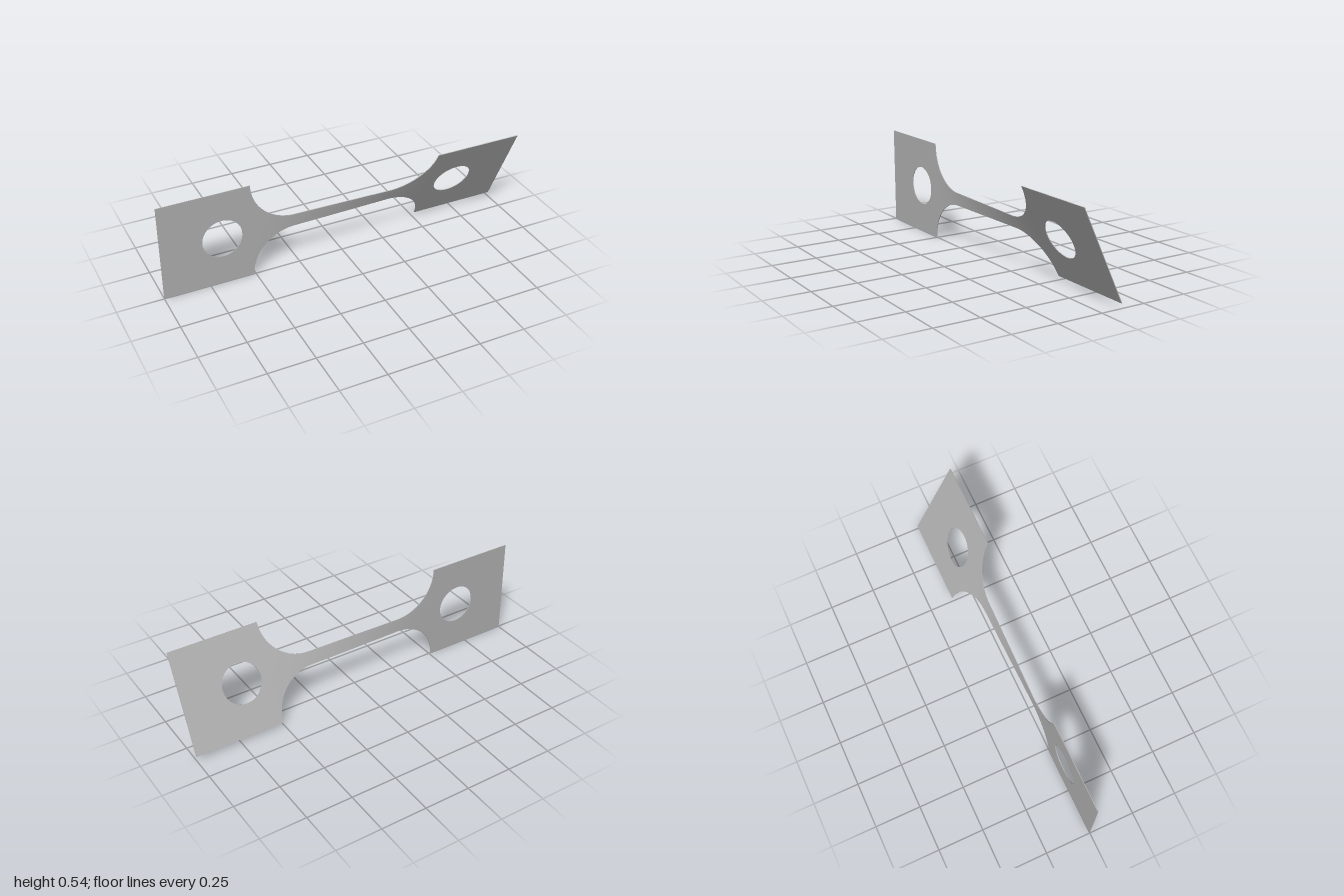
import * as THREE from 'three';

const THICK = 0.004;
const HALF = 0.271;       // half height of the end plates
const NECK = 0.036;       // half height of the narrow bar
const ARC_X = 0.274;      // where the fillets begin
const R = HALF - NECK;    // fillet radius
const HEAD_X = ARC_X + R; // inner edge of the end plates
const START = THREE.MathUtils.degToRad(0.4);
const END = THREE.MathUtils.degToRad(25.3);

// Half height of the bar at x
function halfHeight(x) {
  const d = Math.max(0, Math.abs(x) - ARC_X);
  return NECK + R - Math.sqrt(Math.max(0, R * R - d * d));
}

// The bar twists faster where it is narrower
function twistSum(x) {
  const n = 200, step = (x + HEAD_X) / n;
  let sum = 0;
  for (let i = 0; i < n; i++) sum += step / halfHeight(-HEAD_X + (i + 0.5) * step);
  return sum;
}
const TOTAL = twistSum(HEAD_X);
const twistAt = (x) => START + (END - START) * twistSum(x) / TOTAL;

// Bar with filleted ends, twisted along its length
function barGeometry() {
  const g = new THREE.BoxGeometry(2, 2, THICK, 100, 6, 1);
  // leave out the two end caps, which the plates cover
  const index = Array.from(g.index.array).slice(g.groups[2].start);
  g.setIndex(index);
  g.clearGroups();
  const p = g.attributes.position;
  for (let i = 0; i < p.count; i++) {
    const u = p.getX(i), a = Math.abs(u);
    const x = Math.sign(u) * (a < 0.4
      ? ARC_X * a / 0.4
      : ARC_X + R * Math.sin((a - 0.4) / 0.6 * Math.PI / 2));
    const y = p.getY(i) * halfHeight(x), z = p.getZ(i);
    const t = twistAt(x), c = Math.cos(t), s = Math.sin(t);
    p.setXYZ(i, x, y * c - z * s, y * s + z * c);
  }
  g.computeVertexNormals();
  return g;
}

// Flat end plate with a round hole
function plateGeometry(side) {
  const x0 = side < 0 ? -1 : HEAD_X, x1 = side < 0 ? -HEAD_X : 1;
  const shape = new THREE.Shape([
    new THREE.Vector2(x0, -HALF), new THREE.Vector2(x1, -HALF),
    new THREE.Vector2(x1, HALF), new THREE.Vector2(x0, HALF),
  ]);
  const hole = new THREE.Path();
  hole.absarc(side * 0.67, 0, 0.108, 0, Math.PI * 2, true);
  shape.holes.push(hole);
  const g = new THREE.ExtrudeGeometry(shape, { depth: THICK, bevelEnabled: false, curveSegments: 48 });
  return g.translate(0, 0, -THICK / 2);
}

export function createModel() {
  const steel = new THREE.MeshStandardMaterial({ color: 0xb2b2b2 });
  steel.name = 'grey steel';

  const model = new THREE.Group();
  model.name = 'twistedTestStrip';

  const bar = new THREE.Mesh(barGeometry(), steel);
  bar.name = 'twistedBar';
  model.add(bar);

  for (const side of [-1, 1]) {
    const plate = new THREE.Mesh(plateGeometry(side), steel);
    plate.name = side < 0 ? 'rightEndPlate' : 'leftEndPlate';
    plate.rotation.x = side < 0 ? START : END;
    model.add(plate);
  }

  for (const part of model.children) part.position.y = HALF;
  return model;
}
